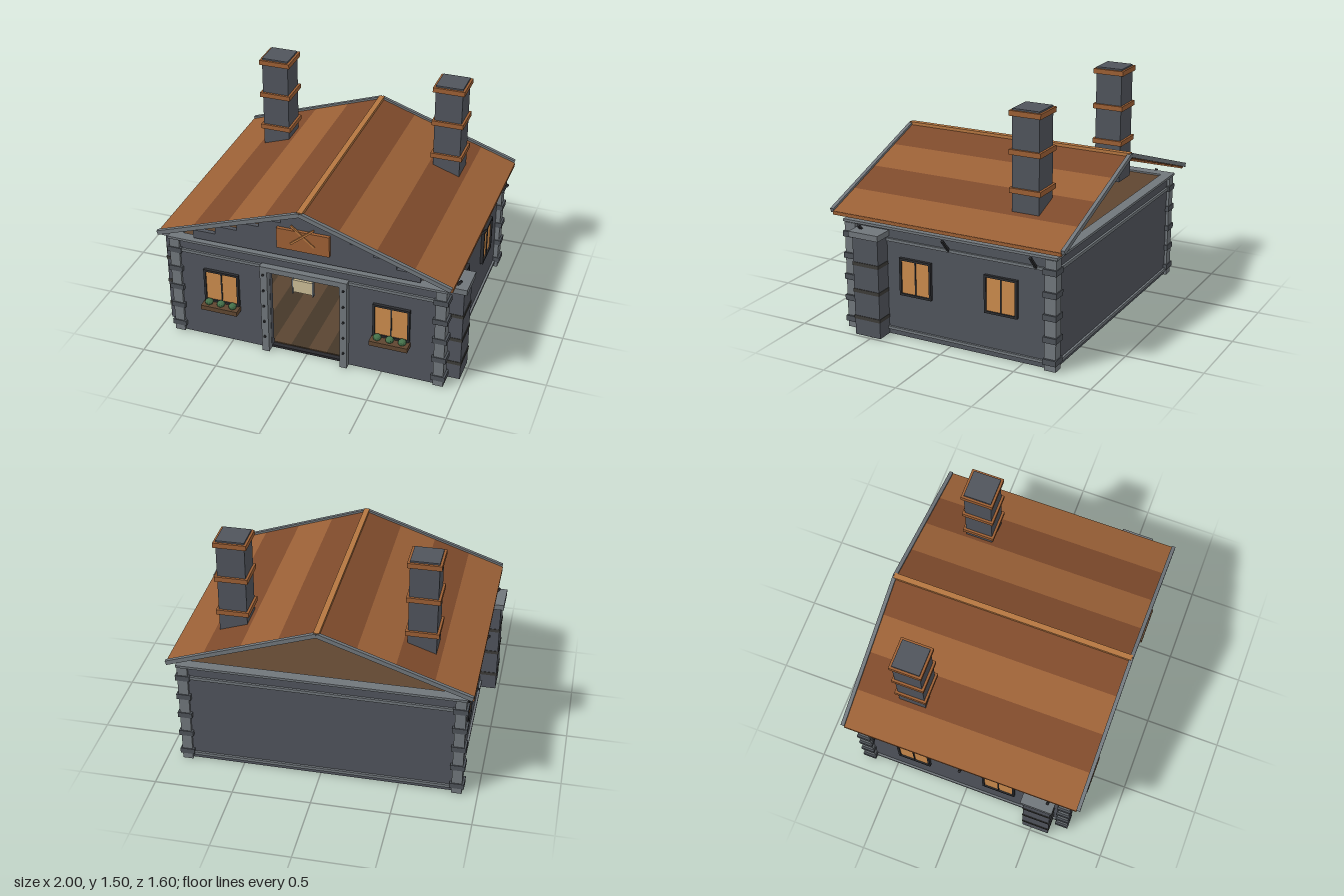
import * as THREE from 'three';

const mat = (color) => new THREE.MeshStandardMaterial({ color, flatShading: true });
const M = {
  wall: mat(0x50545c), trim: mat(0x70767b), dark: mat(0x2c2d30), band: mat(0x3c3b38),
  block: mat(0x4d5258), roofA: mat(0x7e4a2b), roofB: mat(0x9a6036), copper: mat(0x9c5f34),
  ridge: mat(0xb57640), glass: mat(0xcb8b4c), wood: mat(0x5f4630), leaf: mat(0x44704a),
  cream: mat(0xc9bb95), floorA: mat(0x5a4531), floorB: mat(0x463829), stone: mat(0x2a2a2e),
};

export function createModel() {
  const root = new THREE.Group();
  root.name = 'cottage';

  // Box given by its centre and size
  const box = (name, m, x, y, z, w, h, d, parent = root) => {
    const mesh = new THREE.Mesh(new THREE.BoxGeometry(w, h, d), m);
    mesh.name = name;
    mesh.position.set(x, y, z);
    parent.add(mesh);
    return mesh;
  };
  // Bar between two points in the x-y plane
  const bar = (name, m, x0, y0, x1, y1, thick, z, depth, parent = root) => {
    const b = box(name, m, (x0 + x1) / 2, (y0 + y1) / 2, z, Math.hypot(x1 - x0, y1 - y0), thick, depth, parent);
    b.rotation.z = Math.atan2(y1 - y0, x1 - x0);
    return b;
  };
  const group = (name, x = 0, y = 0, z = 0, ry = 0) => {
    const g = new THREE.Group();
    g.name = name;
    g.position.set(x, y, z);
    g.rotation.y = ry;
    root.add(g);
    return g;
  };
  const sides = [-1, 1];

  // Floor slab and boards
  box('floorSlab', M.stone, 0, 0.008, 0, 1.72, 0.016, 1.4);
  for (let i = 0; i < 14; i++)
    box('floorBoard', i % 2 ? M.floorA : M.floorB, -0.78 + i * 0.12, 0.019, 0, 0.12, 0.008, 1.34);

  // Walls, with the doorway left open
  box('backWall', M.wall, 0, 0.355, -0.69, 1.72, 0.7, 0.04);
  box('wallAboveDoor', M.wall, 0, 0.66, 0.69, 0.5, 0.1, 0.04);
  for (const s of sides) {
    box('frontWall', M.wall, s * 0.5475, 0.355, 0.69, 0.625, 0.71, 0.04);
    box('sideWall', M.wall, s * 0.85, 0.355, 0, 0.04, 0.71, 1.38);
  }
  box('ceiling', M.wood, 0, 0.7, 0, 1.7, 0.02, 1.36);

  // Horizontal trim around the walls
  for (const s of sides) {
    for (const y of [0.043, 0.628]) {
      box('sideTrim', M.trim, s * 0.872, y, 0, 0.024, 0.018, 1.4);
      if (s < 0 || y > 0.5) box('endTrim', M.trim, 0, y, s * 0.712, 1.74, 0.02, 0.024);
    }
    box('sideTopPlate', M.trim, s * 0.87, 0.713, 0, 0.075, 0.016, 1.47);
    box('endTopPlate', M.trim, 0, 0.713, s * 0.7, 1.81, 0.016, 0.07);
  }

  // Corner posts with stone blocks
  for (const sx of sides) for (const sz of sides) {
    const g = group('cornerPost', sx * 0.868, 0, sz * 0.69);
    box('post', M.trim, 0, 0.35, 0, 0.066, 0.7, 0.075, g);
    for (let i = 0; i < 5; i++)
      box('cornerBlock', M.block, 0, 0.06 + i * 0.1415, 0, 0.092, 0.036, 0.088, g);
  }

  // Buttresses beside the front corners
  for (const s of sides) {
    const g = group('buttress', s * 0.925, 0, 0.53);
    box('shaft', M.wall, 0, 0.325, 0, 0.11, 0.65, 0.18, g);
    for (const y of [0.118, 0.296, 0.473]) box('darkBand', M.band, 0, y, 0, 0.118, 0.023, 0.186, g);
    box('cap', M.trim, 0, 0.667, 0, 0.15, 0.037, 0.21, g);
  }

  // Iron eave brackets
  for (const s of sides) for (const z of [-0.585, 0, 0.59])
    bar('eaveBracket', M.dark, s * 0.87, 0.62, s * 0.953, 0.715, 0.014, z, 0.016);

  // Windows
  const addWindow = (x, y, z, ry, w, h) => {
    const g = group('window', x, y, z, ry);
    box('pane', M.glass, 0, 0, 0.004, w - 0.02, h - 0.02, 0.012, g);
    for (const s of sides) {
      box('frameSide', M.dark, s * (w / 2 - 0.007), 0, 0.008, 0.014, h, 0.024, g);
      box('frameRail', M.dark, 0, s * (h / 2 - 0.007), 0.008, w, 0.014, 0.024, g);
    }
    box('mullion', M.dark, 0, 0, 0.008, 0.008, h, 0.016, g);
    return g;
  };
  for (const s of sides) {
    for (const z of [0.235, -0.355]) addWindow(s * 0.87, 0.403, z, s * Math.PI / 2, 0.222, 0.243);
    const g = addWindow(s * 0.56, 0.4, 0.71, 0, 0.236, 0.235);
    // Flower box
    box('flowerBox', M.wood, 0, -0.138, 0.04, 0.246, 0.032, 0.07, g);
    for (const dx of [-0.08, 0, 0.08]) {
      const plant = new THREE.Mesh(new THREE.IcosahedronGeometry(0.027, 1), M.leaf);
      plant.name = 'plant';
      plant.position.set(dx, -0.108, 0.038);
      plant.scale.y = 0.8;
      g.add(plant);
    }
  }

  // Door frame with studs
  const door = group('doorFrame');
  for (const s of sides) {
    box('doorPost', M.trim, s * 0.26, 0.322, 0.71, 0.047, 0.645, 0.085, door);
    for (let i = 0; i < 5; i++) {
      const stud = new THREE.Mesh(new THREE.CylinderGeometry(0.008, 0.008, 0.012, 8), M.dark);
      stud.name = 'stud';
      stud.rotation.x = Math.PI / 2;
      stud.position.set(s * 0.262, 0.115 + i * 0.118, 0.756);
      door.add(stud);
    }
  }
  box('lintel', M.trim, 0, 0.627, 0.71, 0.57, 0.036, 0.085, door);

  // Small board hanging in the doorway
  box('hangingBoard', M.cream, 0, 0.553, 0.745, 0.125, 0.088, 0.018);
  for (const s of sides) box('boardEdge', M.trim, s * 0.066, 0.55, 0.745, 0.008, 0.105, 0.026);

  // Room: back panel with crossed tools, lamp and workbench
  box('backPanel', M.band, 0, 0.457, -0.66, 0.28, 0.305, 0.02);
  for (const s of sides) bar('crossedTool', M.trim, -s * 0.05, 0.38, s * 0.045, 0.5, 0.014, -0.64 + s * 0.006, 0.012);
  box('lamp', M.glass, 0, 0.495, -0.62, 0.05, 0.04, 0.04);
  box('benchTop', M.band, 0, 0.18, -0.54, 0.9, 0.028, 0.24);
  for (const s of sides) for (const z of [-0.63, -0.45])
    box('benchLeg', M.band, s * 0.42, 0.095, z, 0.035, 0.15, 0.035);
  box('benchTool', M.dark, -0.16, 0.206, -0.5, 0.03, 0.025, 0.04);

  // Stepped front gable with its board
  [0.735, 0.585, 0.44, 0.293, 0.147].forEach((half, i) =>
    box('gableStep', M.wall, 0, 0.767 + i * 0.0585, 0.705, half * 2, 0.0585, 0.03));
  box('gableBoard', M.copper, 0, 0.875, 0.73, 0.34, 0.14, 0.024);
  for (const s of sides) bar('gableCross', M.ridge, -s * 0.075, 0.855, s * 0.075, 0.98, 0.012, 0.746 + s * 0.004, 0.012);

  // Roof: four broad strips per slope, rake trim, eaves and ridge
  const roofY = (x) => 1.09 - 0.343 * x;
  for (const s of sides) {
    for (let i = 0; i < 4; i++) {
      const x0 = i * 0.236, x1 = x0 + 0.236;
      bar('roofStrip', i % 2 ? M.roofB : M.roofA, s * x0, roofY(x0), s * x1, roofY(x1), 0.02, 0, 1.555);
    }
    box('eaveEdge', M.copper, s * 0.938, 0.763, 0, 0.02, 0.02, 1.555);
    for (const z of sides) bar('rakeTrim', M.trim, 0, 1.1, s * 0.943, 0.777, 0.028, z * 0.787, 0.024);
  }
  box('ridgeCap', M.ridge, 0, 1.101, 0, 0.036, 0.026, 1.58);

  // Chimneys
  for (const s of sides) {
    const g = group('chimney', s * 0.589, 0, -0.413);
    box('stack', M.wall, 0, 1.118, 0, 0.178, 0.765, 0.178, g);
    for (const y of [1.003, 1.239, 1.474]) box('copperBand', M.copper, 0, y, 0, 0.208, 0.032, 0.208, g);
  }
  return root;
}
